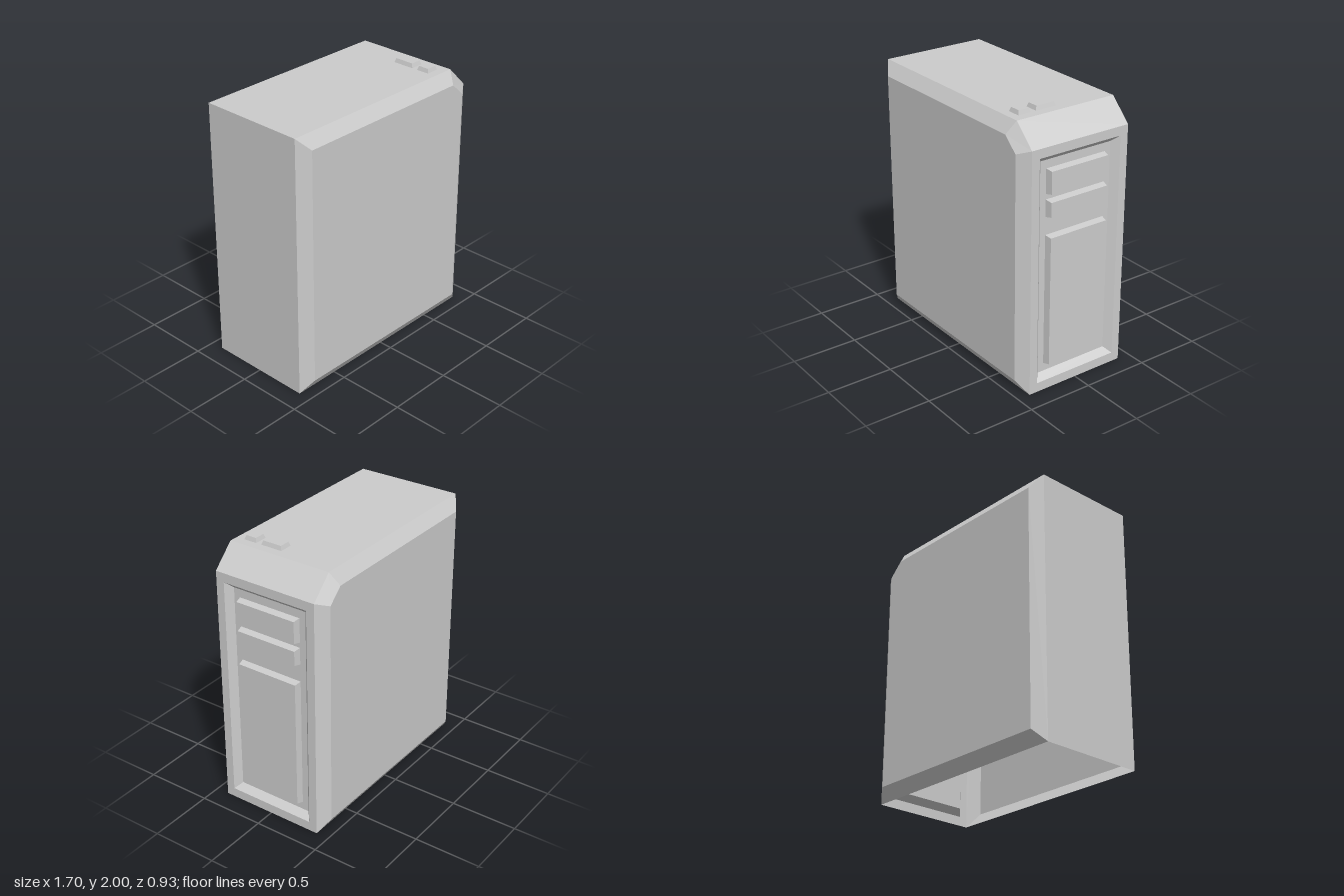
import * as THREE from 'three';

const material = new THREE.MeshStandardMaterial({ color: 0xcccccc, flatShading: true, side: THREE.DoubleSide });

// Flat-shaded walls between two matching rings of [x, y, z] points, with an optional cap on the second.
// Rings run counter-clockwise seen from the second ring's side; walls listed in skip are left open.
function loft(a, b, { cap = true, skip = [] } = {}) {
  const pos = [];
  const tri = (p, q, r) => pos.push(...p, ...q, ...r);
  a.forEach((p, i) => {
    if (skip.includes(i)) return;
    const j = (i + 1) % a.length;
    tri(p, a[j], b[j]);
    tri(p, b[j], b[i]);
  });
  if (cap) for (let i = 1; i < b.length - 1; i++) tri(b[0], b[i], b[i + 1]);
  const geo = new THREE.BufferGeometry();
  geo.setAttribute('position', new THREE.Float32BufferAttribute(pos, 3));
  geo.computeVertexNormals();
  return geo;
}

const rect = (x0, x1, y0, y1, z, inset = 0) => [
  [x0 + inset, y0 + inset, z], [x1 - inset, y0 + inset, z],
  [x1 - inset, y1 - inset, z], [x0 + inset, y1 - inset, z],
];

// Tapered block (or hollow, when depth is negative) rising along z from a rectangle
const tapered = (x0, x1, y0, y1, depth, inset) =>
  loft(rect(x0, x1, y0, y1, 0), rect(x0, x1, y0, y1, depth, inset));

export function createModel() {
  const model = new THREE.Group();
  model.name = 'computerTower';
  const add = (parent, name, geo) => {
    const mesh = new THREE.Mesh(geo, material);
    mesh.name = name;
    parent.add(mesh);
    return mesh;
  };

  const X = 0.85, TOP = 1.97, ZE = 0.402, ZS = 0.465, RECESS = 0.05;

  // Case profile, and the smaller outline of the raised side panels
  const outer = [[-X, 0], [X, 0], [X, 1.812], [0.69, TOP], [-X, TOP]];
  const inner = [[-0.76, 0.095], [0.76, 0.095], [0.76, 1.777], [0.652, 1.878], [-0.76, 1.878]];
  const ring = (pts, z) => pts.map(([x, y]) => [x, y, z]);

  // Top, sloped corner and back wall; the underside is open and the fascia is separate
  add(model, 'caseShell', loft(ring(outer, -ZE), ring(outer, ZE), { cap: false, skip: [0, 1] }));

  // Side panels with bevelled borders
  add(model, 'leftAndRightSidePanel', loft(ring(outer, ZE), ring(inner, ZS))).name = 'sidePanelFront';
  const flip = (pts, z) => ring(pts, z).reverse();
  add(model, 'sidePanelBack', loft(flip(outer, -ZE), flip(inner, -ZS)));

  // Fascia on the +x end, built facing z and turned
  const fascia = new THREE.Group();
  fascia.name = 'fascia';
  fascia.position.x = X;
  fascia.rotation.y = Math.PI / 2;
  model.add(fascia);

  const toPath = (Type, pts) => new Type(pts.map(([x, y]) => new THREE.Vector2(x, y)));
  const opening = [-0.339, 0.339, 0.07, 1.745];
  const frame = toPath(THREE.Shape, rect(-ZE, ZE, 0, 1.812, 0));
  frame.holes.push(toPath(THREE.Path, rect(...opening, 0)));
  add(fascia, 'fasciaFrame', new THREE.ShapeGeometry(frame));
  add(fascia, 'fasciaRecess', tapered(...opening, -RECESS, 0.044));

  // Drive bay covers and the large lower cover, standing on the recess floor
  [['upperDriveCover', 1.459, 1.64], ['lowerDriveCover', 1.294, 1.42], ['lowerCover', 0.175, 1.162]]
    .forEach(([name, y0, y1]) => {
      add(fascia, name, tapered(-0.247, 0.247, y0, y1, RECESS, 0.01)).position.z = -RECESS;
    });

  // Buttons on the top
  [['powerButton', 0.03, 0.196], ['resetButton', 0.239, 0.339]].forEach(([name, z0, z1]) => {
    const button = add(model, name, tapered(0.522, 0.622, -z1, -z0, 0.03, 0.01));
    button.rotation.x = -Math.PI / 2;
    button.position.y = TOP;
  });

  return model;
}
